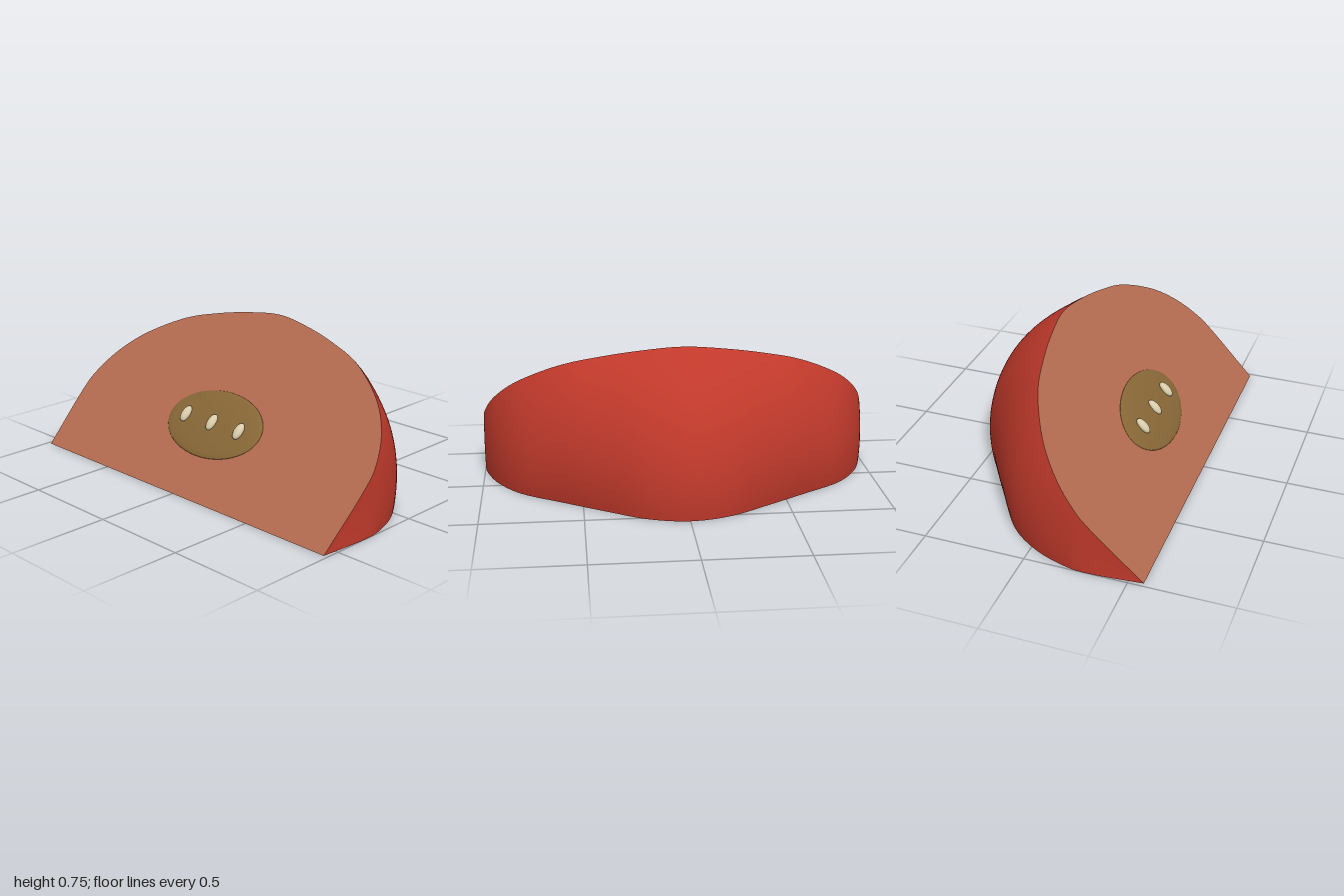
import * as THREE from 'three';

const EDGE_X = -0.57; // straight inner edge of the wedge, running along z
const ANGLE = Math.PI / 4;

// Half profiles as [z, radius of lower cut, radius of upper cut]
const HALF = [
  [0, 1.13, 1.067], [0.2, 1.085, 1.04], [0.4, 0.965, 0.99], [0.6, 0.835, 0.915],
  [0.8, 0.7, 0.775], [0.92, 0.545, 0.63], [0.985, 0.38, 0.48], [1.0, 0.25, 0.34], [0.98, 0, 0],
];

// Smooth mirrored outline sampled as (radius, z) points
function outline(column, n) {
  const mirrored = HALF.slice(1).reverse().map((p) => [-p[0], p[column]]);
  const pts = [...mirrored, ...HALF.map((p) => [p[0], p[column]])];
  const curve = new THREE.CatmullRomCurve3(pts.map(([z, r]) => new THREE.Vector3(r, z, 0)), false, 'catmullrom', 0.5);
  return curve.getPoints(n).map((p) => new THREE.Vector2(Math.max(p.x, 0), p.y));
}

// Curved outer surface swept between the two cut outlines
function skinGeometry(lower, upper, steps) {
  const pos = [], index = [];
  lower.forEach((a, i) => {
    const b = upper[i];
    for (let j = 0; j <= steps; j++) {
      const t = j / steps;
      const z = THREE.MathUtils.lerp(a.y, b.y, t);
      const bulge = 0.045 * 4 * t * (1 - t) * Math.max(0, 1 - z * z);
      const r = THREE.MathUtils.lerp(a.x, b.x, t) + bulge;
      pos.push(EDGE_X + r * Math.cos(t * ANGLE), r * Math.sin(t * ANGLE), z);
      if (i < lower.length - 1 && j < steps) {
        const k = i * (steps + 1) + j, m = k + steps + 1;
        index.push(k, k + 1, m, k + 1, m + 1, m);
      }
    }
  });
  const geo = new THREE.BufferGeometry();
  geo.setAttribute('position', new THREE.Float32BufferAttribute(pos, 3));
  geo.setIndex(index);
  geo.computeVertexNormals();
  return geo;
}

export function createModel() {
  const material = (name, color) => {
    const m = new THREE.MeshStandardMaterial({ color });
    m.name = name;
    return m;
  };
  const red = material('red skin', 0xc0392b);
  const flesh = material('flesh', 0xb56c50);
  const brown = material('core brown', 0x876736);
  const cream = material('seed cream', 0xd8cbaa);

  const model = new THREE.Group();
  model.name = 'fruitWedge';
  const add = (parent, name, geo, mat) => {
    const mesh = new THREE.Mesh(geo, mat);
    mesh.name = name;
    parent.add(mesh);
    return mesh;
  };

  const lower = outline(1, 96), upper = outline(2, 96);
  add(model, 'skin', skinGeometry(lower, upper, 32), red);

  // Lower cut face, facing down
  const base = add(model, 'lowerCutFace', new THREE.ShapeGeometry(new THREE.Shape(lower)).rotateX(Math.PI / 2), flesh);
  base.position.x = EDGE_X;

  // Upper cut face with core and seeds, in a frame tilted along the slope
  const slope = new THREE.Group();
  slope.name = 'upperCut';
  slope.position.x = EDGE_X;
  slope.rotation.z = ANGLE;
  model.add(slope);
  add(slope, 'upperCutFace', new THREE.ShapeGeometry(new THREE.Shape(upper)).rotateX(-Math.PI / 2), flesh);

  const core = add(slope, 'core', new THREE.SphereGeometry(1, 48, 24), brown);
  core.scale.set(0.184, 0.02, 0.312);
  core.position.x = 0.403;

  for (const z of [-0.187, 0, 0.187]) {
    const seed = add(slope, 'seed', new THREE.SphereGeometry(1, 24, 16), cream);
    seed.scale.set(0.045, 0.02, 0.025);
    seed.position.set(0.401, 0.023, z);
  }
  return model;
}
